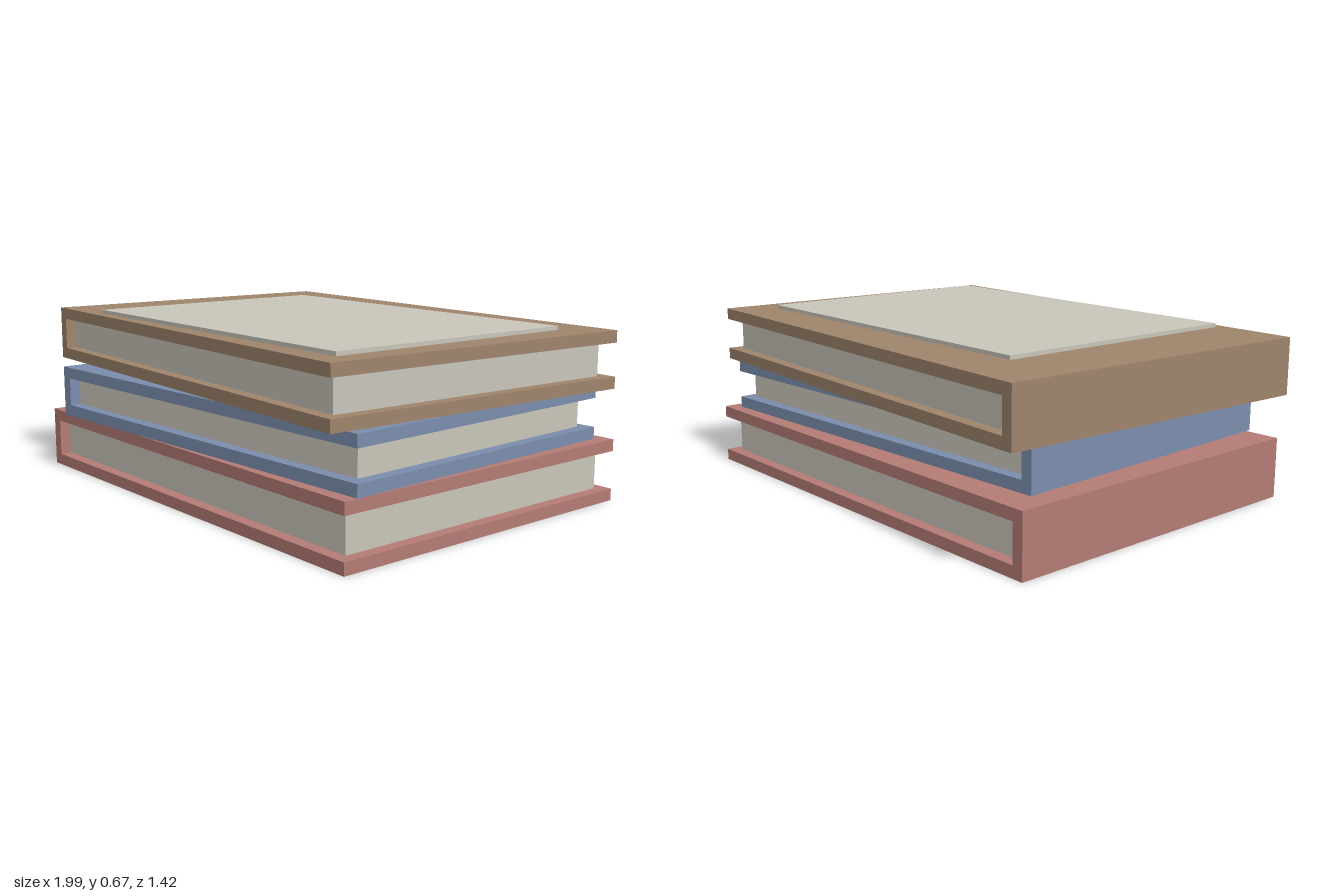
import * as THREE from 'three';

const material = (name, color) => {
  const m = new THREE.MeshStandardMaterial({ color });
  m.name = name;
  return m;
};

const BOARD = 0.045; // cover thickness, also the overhang around the pages

// C-shaped cover (two boards and a spine on the -x side), extruded along z
function coverGeometry(w, h, d) {
  const x = w / 2, t = BOARD;
  const profile = new THREE.Shape([
    [-x, 0], [x, 0], [x, t], [-x + t, t],
    [-x + t, h - t], [x, h - t], [x, h], [-x, h],
  ].map(([px, py]) => new THREE.Vector2(px, py)));
  return new THREE.ExtrudeGeometry(profile, { depth: d, bevelEnabled: false }).translate(0, 0, -d / 2);
}

function makeBook({ name, cover, paper, size: [w, h, d], position, turn }) {
  const book = new THREE.Group();
  book.name = name;

  const coverMesh = new THREE.Mesh(coverGeometry(w, h, d), cover);
  coverMesh.name = 'cover';

  const pages = new THREE.Mesh(
    new THREE.BoxGeometry(w - 2 * BOARD, h - 2 * BOARD, d - 2 * BOARD), paper);
  pages.name = 'pages';
  pages.position.y = h / 2;

  book.add(coverMesh, pages);
  book.position.set(...position);
  book.rotation.y = turn;
  return book;
}

export function createModel() {
  const paper = material('paper', 0xc9c6ba);
  const red = material('red cover', 0xb47b75);
  const blue = material('blue cover', 0x7b8dad);
  const brown = material('brown cover', 0x9f846c);

  const model = new THREE.Group();
  model.name = 'bookStack';

  // Three books, each turned a little differently
  model.add(
    makeBook({ name: 'bottomBook', cover: red, paper, size: [1.87, 0.235, 1.33], position: [0.035, 0, 0.022], turn: 0 }),
    makeBook({ name: 'middleBook', cover: blue, paper, size: [1.727, 0.2, 1.231], position: [0.08, 0.235, 0.057], turn: 0.043 }),
    makeBook({ name: 'topBook', cover: brown, paper, size: [1.92, 0.215, 1.3], position: [0, 0.435, -0.004], turn: -0.0585 }),
  );

  // Loose sheet lying on the top book
  const sheet = new THREE.Mesh(new THREE.BoxGeometry(1.508, 0.015, 1.04), paper);
  sheet.name = 'looseSheet';
  sheet.position.set(0.089, 0.6575, 0.065);
  sheet.rotation.y = -0.0235;
  model.add(sheet);

  return model;
}
